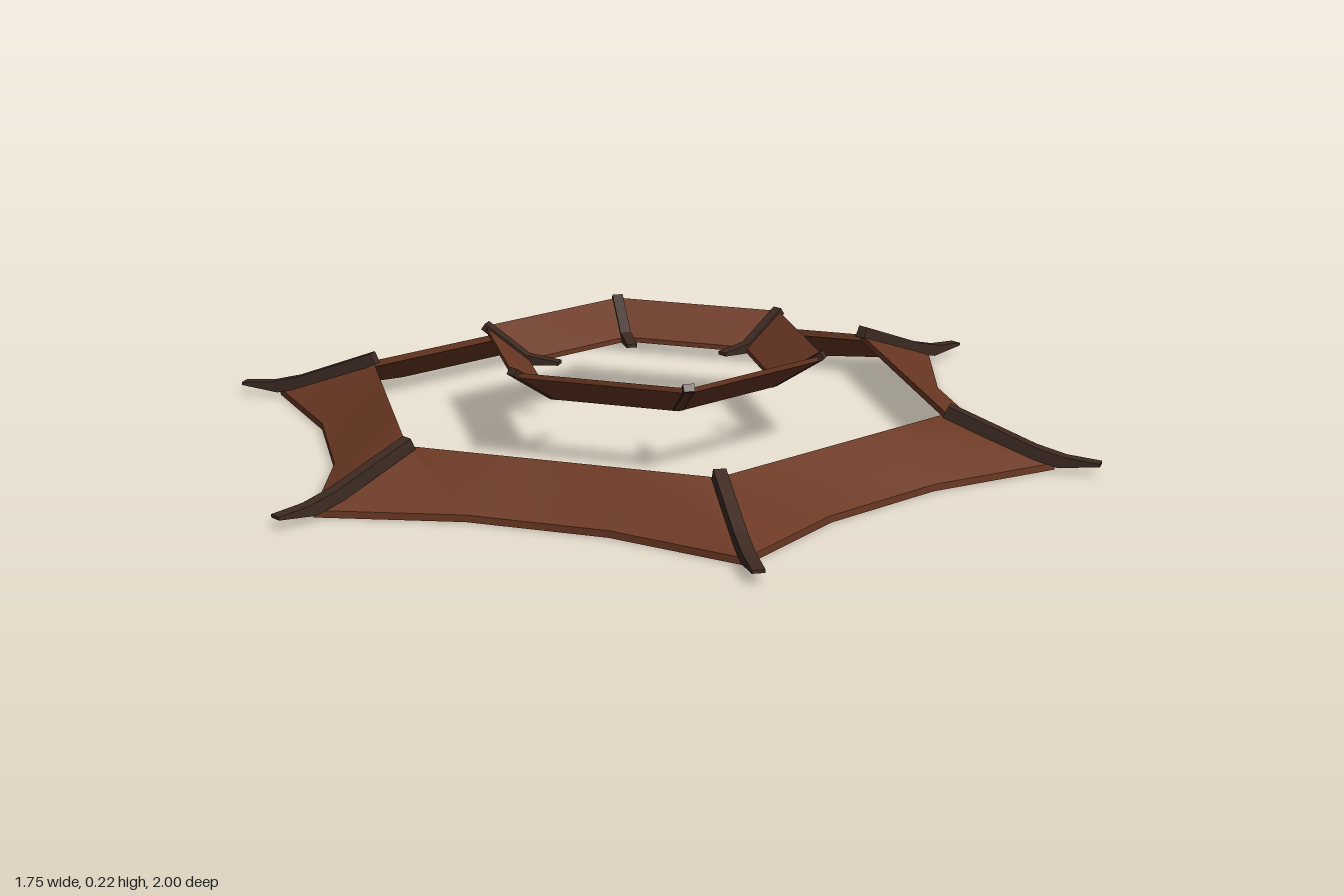
import * as THREE from 'three';
import { toCreasedNormals } from 'three/addons/utils/BufferGeometryUtils.js';

const SIDES = 6;

// Point on a hexagon of corner radius r: side i, fraction t along it, scaled by pull
function hexPoint(r, i, t, pull = 1) {
  const a = (i * Math.PI * 2) / SIDES, b = ((i + 1) * Math.PI * 2) / SIDES;
  const x = r * THREE.MathUtils.lerp(Math.sin(a), Math.sin(b), t);
  const z = r * THREE.MathUtils.lerp(Math.cos(a), Math.cos(b), t);
  // move the outline inward, square to the side
  const m = (a + b) / 2, d = r * Math.cos(Math.PI / SIDES) * (pull - 1);
  return [x + Math.sin(m) * d, z + Math.cos(m) * d];
}

// Sloped hexagonal slab; pull below 1 bows the outer edge inward between corners
function slabRing({ rIn, yIn, rOut, yOut, thick, pull }) {
  const sections = [];
  for (let i = 0; i < SIDES; i++) {
    for (const t of [0, 1 / 3, 2 / 3]) {
      const [ix, iz] = hexPoint(rIn, i, t);
      const [ox, oz] = hexPoint(rOut, i, t, t === 0 ? 1 : pull);
      sections.push([
        [ix, yIn, iz], [ox, yOut, oz],
        [ox, yOut - thick, oz], [ix, yIn - thick, iz],
      ]);
    }
  }
  const pos = [], n = sections.length;
  for (let k = 0; k < n; k++) {
    const s = sections[k], e = sections[(k + 1) % n];
    for (let j = 0; j < 4; j++) {
      const q = (j + 1) % 4;
      pos.push(...s[j], ...s[q], ...e[q], ...s[j], ...e[q], ...e[j]);
    }
  }
  const geo = new THREE.BufferGeometry();
  geo.setAttribute('position', new THREE.Float32BufferAttribute(pos, 3));
  return toCreasedNormals(geo, 0.5);
}

// Six radial beams cut from one side profile of (radius, height) points
function beams(name, profile, width, material) {
  const group = new THREE.Group();
  group.name = name + 's';
  const shape = new THREE.Shape(profile.map(([r, y]) => new THREE.Vector2(r, y)));
  const geo = new THREE.ExtrudeGeometry(shape, { depth: width, bevelEnabled: false });
  geo.translate(0, 0, -width / 2);
  for (let i = 0; i < SIDES; i++) {
    const beam = new THREE.Mesh(geo, material);
    beam.name = name;
    beam.rotation.y = (i * Math.PI * 2) / SIDES - Math.PI / 2;
    group.add(beam);
  }
  return group;
}

export function createModel() {
  const model = new THREE.Group();
  model.name = 'hexagonalRoofTrim';

  const roofBrown = new THREE.MeshStandardMaterial({ color: 0x6b3823 });
  roofBrown.name = 'roofBrown';
  const beamBrown = new THREE.MeshStandardMaterial({ color: 0x3d2a22 });
  beamBrown.name = 'beamBrown';

  // Lower eaves, sloping down and out to pointed corners
  const eaves = new THREE.Mesh(slabRing({
    rIn: 0.67, yIn: 0.102, rOut: 0.907, yOut: 0.015, thick: 0.015, pull: 0.911,
  }), roofBrown);
  eaves.name = 'lowerEaves';
  eaves.position.z = -0.013;
  model.add(eaves);

  // Upper ring, flaring up and out
  const upper = new THREE.Mesh(slabRing({
    rIn: 0.289, yIn: 0.142, rOut: 0.392, yOut: 0.21, thick: 0.011, pull: 1,
  }), roofBrown);
  upper.name = 'upperRing';
  upper.position.z = -0.004;
  model.add(upper);

  // Ridge beams over the eaves, with thin flattened tips
  model.add(beams('lowerBeam', [
    [0.66, 0.1], [0.84, 0.03], [0.91, 0.012], [1.0, 0.022],
    [1.0, 0.029], [0.925, 0.036], [0.86, 0.053], [0.672, 0.125],
  ], 0.027, beamBrown));

  // Beams inside the upper ring, tips pointing to the centre
  const upperBeams = beams('upperBeam', [
    [0.215, 0.136], [0.285, 0.131], [0.398, 0.205],
    [0.388, 0.219], [0.29, 0.153], [0.215, 0.144],
  ], 0.024, beamBrown);
  upperBeams.position.z = -0.004;
  model.add(upperBeams);

  return model;
}
